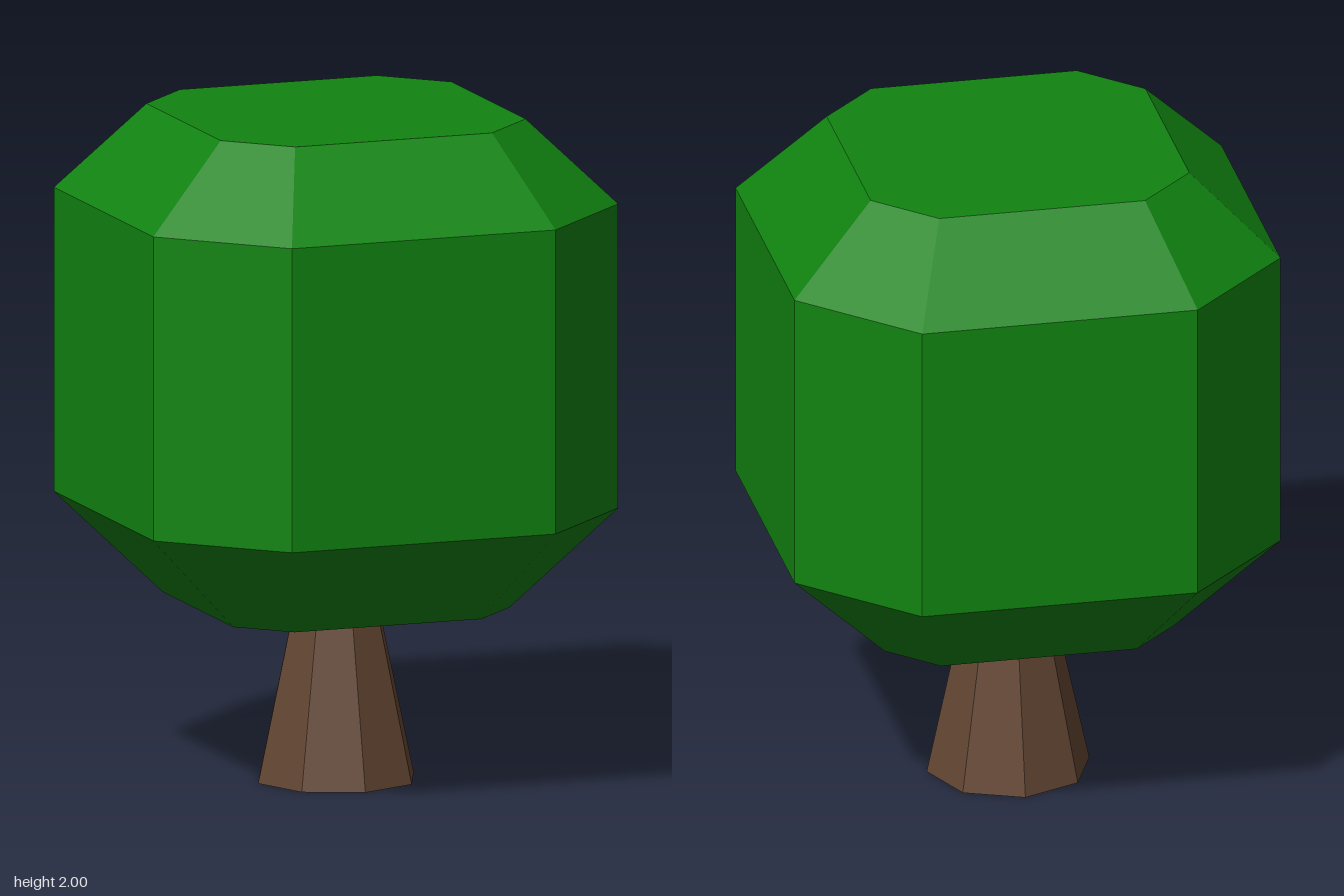
import * as THREE from 'three';

// Corners of a chamfered square at height y: half is the outer reach, flat the half length of a straight side.
// The order runs from +z towards +x.
function ring(y, half, flat) {
  return [
    [-flat, half], [flat, half], [half, flat], [half, -flat],
    [flat, -half], [-flat, -half], [-half, -flat], [-half, flat],
  ].map(([x, z]) => [x, y, z]);
}

// Flat-shaded closed solid through a stack of rings, listed from bottom to top.
function loft(rings) {
  const pos = [];
  const tri = (a, b, c) => pos.push(...a, ...b, ...c);
  const n = rings[0].length;
  for (let r = 0; r < rings.length - 1; r++) {
    const lo = rings[r], hi = rings[r + 1];
    for (let i = 0; i < n; i++) {
      const j = (i + 1) % n;
      tri(lo[i], lo[j], hi[j]);
      tri(lo[i], hi[j], hi[i]);
    }
  }
  const bottom = rings[0], top = rings[rings.length - 1];
  for (let i = 1; i < n - 1; i++) {
    tri(bottom[0], bottom[i + 1], bottom[i]);
    tri(top[0], top[i], top[i + 1]);
  }
  const geo = new THREE.BufferGeometry();
  geo.setAttribute('position', new THREE.Float32BufferAttribute(pos, 3));
  geo.computeVertexNormals();
  return geo;
}

export function createModel() {
  const tree = new THREE.Group();
  tree.name = 'tree';

  const leafGreen = new THREE.MeshStandardMaterial({ color: 0x118411 });
  leafGreen.name = 'leaf green';
  const barkBrown = new THREE.MeshStandardMaterial({ color: 0x634633 });
  barkBrown.name = 'bark brown';

  // Foliage: a bevelled block
  const foliage = new THREE.Mesh(loft([
    ring(0.535, 0.435, 0.295),
    ring(0.835, 0.732, 0.415),
    ring(1.747, 0.732, 0.415),
    ring(2, 0.48, 0.31),
  ]), leafGreen);
  foliage.name = 'foliage';

  // Trunk: tapered octagon with corners on the axes
  const height = 0.54;
  const trunkGeo = new THREE.CylinderGeometry(0.128, 0.245, height, 8).toNonIndexed();
  trunkGeo.computeVertexNormals();
  const trunk = new THREE.Mesh(trunkGeo, barkBrown);
  trunk.name = 'trunk';
  trunk.position.y = height / 2;

  tree.add(foliage, trunk);
  return tree;
}
